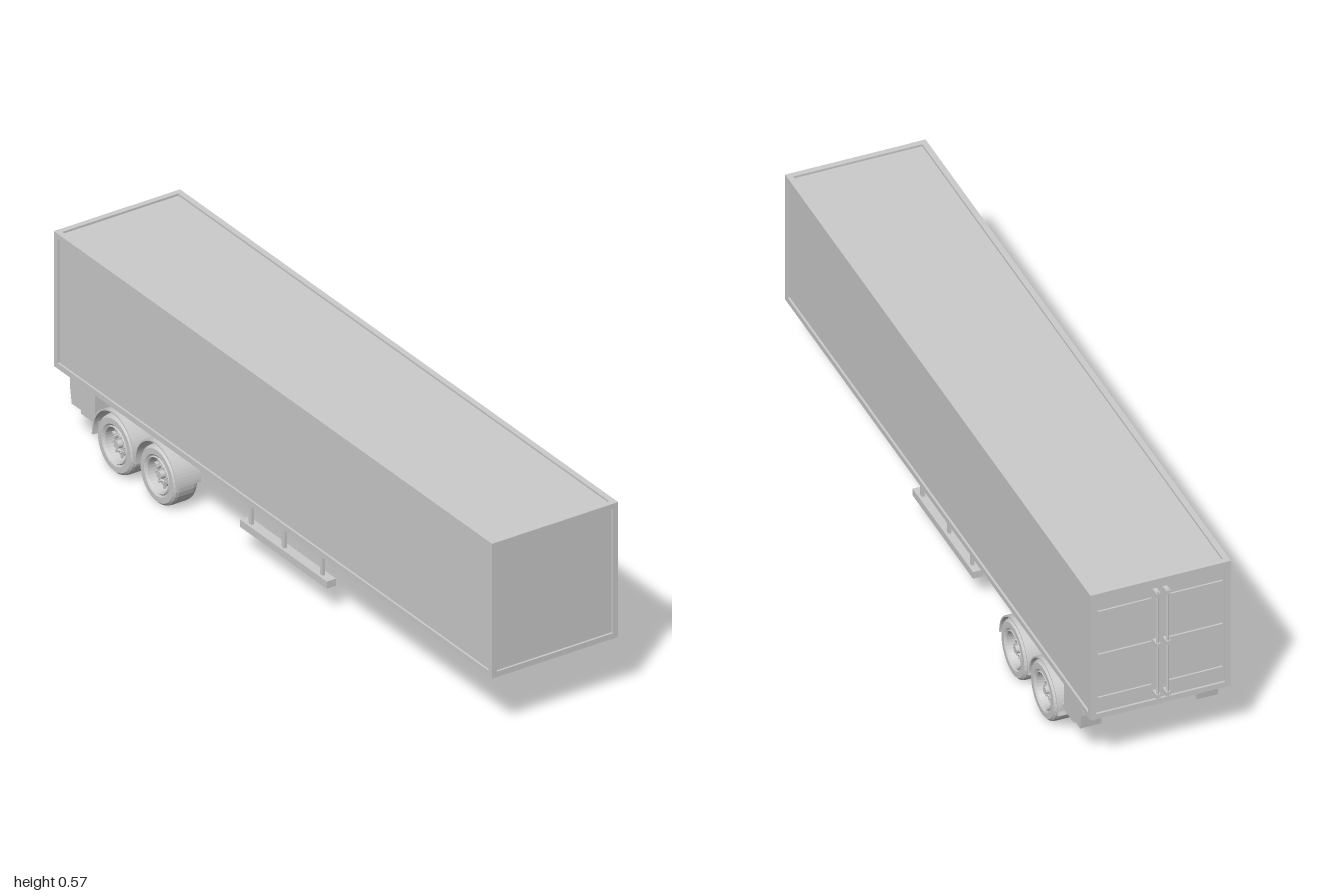
import * as THREE from 'three';

const grey = new THREE.MeshStandardMaterial({ color: 0xcccccc, flatShading: true });

function add(parent, name, geometry) {
  const mesh = new THREE.Mesh(geometry, grey);
  mesh.name = name;
  parent.add(mesh);
  return mesh;
}

// Box given by its low and high corner along each axis
function span(parent, name, x0, x1, y0, y1, z0, z1) {
  const mesh = add(parent, name, new THREE.BoxGeometry(x1 - x0, y1 - y0, z1 - z0));
  mesh.position.set((x0 + x1) / 2, (y0 + y1) / 2, (z0 + z1) / 2);
  return mesh;
}

// Side profile drawn in (z, y), extruded from x0 to x1
function profile(parent, name, shape, x0, x1) {
  const g = new THREE.ExtrudeGeometry(shape, { depth: x1 - x0, bevelEnabled: false, curveSegments: 16 });
  g.rotateY(-Math.PI / 2).translate(x1, 0, 0);
  return add(parent, name, g);
}

const polygon = (pts) => new THREE.Shape(pts.map(([z, y]) => new THREE.Vector2(z, y)));

// Cylinder lying along x
function rod(parent, name, r, x0, x1, y, z, sides = 16) {
  const g = new THREE.CylinderGeometry(r, r, x1 - x0, sides).rotateZ(-Math.PI / 2);
  add(parent, name, g).position.set((x0 + x1) / 2, y, z);
}

function cargoBody() {
  const body = new THREE.Group();
  body.name = 'cargoBody';
  const X = 0.194, Y0 = 0.178, Y1 = 0.57, Z0 = -0.98, Z1 = 0.998, t = 0.016, d = 0.006;
  span(body, 'recessedPanels', -X + d, X - d, Y0 + 0.001, Y1 - d, Z0 + d, Z1 - d);
  // Raised frame along all twelve edges
  for (const y of [Y0, Y1 - t]) {
    for (const x of [-X, X - t]) span(body, 'lengthRail', x, x + t, y, y + t, Z0, Z1);
    for (const z of [Z0, Z1 - t]) span(body, 'crossRail', -X + t, X - t, y, y + t, z, z + t);
  }
  for (const x of [-X, X - t])
    for (const z of [Z0, Z1 - t]) span(body, 'cornerPost', x, x + t, Y0 + t, Y1 - t, z, z + t);
  // Rear doors: ribs, locking rods and brackets
  const zd = Z0 + d;
  span(body, 'doorSeam', -0.002, 0.002, Y0 + t, Y1 - t, zd - 0.002, zd);
  for (const s of [-1, 1]) {
    for (const y of [0.24, 0.375, 0.51]) {
      const rib = span(body, 'doorRib', 0.024, 0.172, y - 0.003, y + 0.003, zd - 0.005, zd);
      rib.position.x *= s;
    }
    const bar = add(body, 'lockingRod', new THREE.CylinderGeometry(0.004, 0.004, 0.335, 10));
    bar.position.set(s * 0.014, 0.374, -0.992);
    for (const y of [0.215, 0.375, 0.533])
      span(body, 'rodBracket', s * 0.014 - 0.006, s * 0.014 + 0.006, y - 0.006, y + 0.006, -0.998, zd);
  }
  return body;
}

function chassis() {
  const g = new THREE.Group();
  g.name = 'chassis';
  const w = 0.128, hole = 0.036, y0 = 0.123, y1 = 0.178;
  profile(g, 'taperedNose', polygon([[0.48, y0], [0.52, y0], [0.57, y1 - 0.008], [0.57, y1], [0.48, y1]]), -w, w);
  for (const s of [-1, 1]) {
    const beam = span(g, 'mainBeam', hole, w, y0, y1, -0.80, 0.48);
    beam.position.x *= s;
  }
  span(g, 'crossMember', -hole, hole, y0, y1, -0.24, -0.17);
  span(g, 'crossMember', -hole, hole, y0, y1, -0.80, -0.74);
  return g;
}

// Side guard on the +x or -x side
function sideGuard(s) {
  const g = new THREE.Group();
  g.name = 'sideGuard';
  span(g, 'guardRail', s * 0.159 - 0.014, s * 0.159 + 0.014, 0.076, 0.097, -0.17, 0.222);
  for (const z of [0.185, 0.012, -0.137])
    span(g, 'guardPost', s * 0.161 - 0.004, s * 0.161 + 0.004, 0.09, 0.179, z - 0.006, z + 0.006);
  return g;
}

// Wheel lying on the x axis with its outer face towards +x, 0.074 wide
function wheel() {
  const g = new THREE.Group();
  g.name = 'wheel';
  const turned = (name, pts) => add(g, name, new THREE.LatheGeometry(
    pts.map(([r, x]) => new THREE.Vector2(r, x)), 32).rotateZ(-Math.PI / 2));
  turned('tyre', [[0, 0.003], [0.05, 0.003], [0.055, 0], [0.074, 0], [0.08, 0.006], [0.082, 0.014],
    [0.082, 0.06], [0.08, 0.068], [0.074, 0.074], [0.058, 0.074], [0.053, 0.07]]);
  turned('rim', [[0.053, 0.07], [0.05, 0.073], [0.047, 0.07], [0.043, 0.048], [0.036, 0.044],
    [0.03, 0.056], [0.02, 0.058], [0.018, 0.054], [0, 0.054]]);
  rod(g, 'hub', 0.011, 0.05, 0.068, 0, 0);
  for (let i = 0; i < 10; i++) {
    const a = (i / 10) * Math.PI * 2;
    rod(g, 'wheelNut', 0.0025, 0.055, 0.061, 0.024 * Math.sin(a), 0.024 * Math.cos(a), 6);
    const spoke = add(g, 'spoke', new THREE.BoxGeometry(0.012, 0.016, 0.006));
    spoke.position.set(0.047, 0.037 * Math.cos(a), 0.037 * Math.sin(a));
    spoke.rotation.x = a;
  }
  return g;
}

// Half-round mudguard with a small flared lip at the rear
function mudguard() {
  const R = 0.094, t = 0.004, s = new THREE.Shape();
  s.absarc(0, 0, R, 0, Math.PI, false);
  s.lineTo(-R - 0.003, -0.012);
  s.lineTo(-R + t, -0.012);
  s.lineTo(-R + t, 0);
  s.absarc(0, 0, R - t, Math.PI, 0, true);
  s.closePath();
  const g = new THREE.Group();
  g.name = 'mudguard';
  profile(g, 'mudguardShell', s, 0.128, 0.204);
  return g;
}

function axleSet(z) {
  const g = new THREE.Group();
  g.name = 'axleSet';
  const y = 0.082;
  rod(g, 'axle', 0.009, -0.135, 0.135, y, z);
  for (const s of [-1, 1]) {
    rod(g, 'axleCollar', 0.012, s * 0.095 - 0.02, s * 0.095 + 0.02, y, z);
    const w = wheel();
    w.position.set(s * 0.13, y, z);
    if (s < 0) w.rotation.y = Math.PI;
    g.add(w);
    const m = mudguard();
    m.position.set(s < 0 ? -0.332 : 0, y, z - 0.006);
    g.add(m);
  }
  return g;
}

function rearBumper() {
  const g = new THREE.Group();
  g.name = 'rearBumper';
  const end = polygon([[-0.80, 0.102], [-0.905, 0.102], [-0.912, 0.145], [-0.912, 0.179], [-0.80, 0.179]].reverse());
  profile(g, 'bumperEnd', end, 0.132, 0.19);
  profile(g, 'bumperEnd', end, -0.19, -0.132);
  span(g, 'bumperCentre', -0.132, 0.132, 0.125, 0.179, -0.908, -0.80);
  span(g, 'lightPanel', -0.165, 0.165, 0.135, 0.166, -0.918, -0.905);
  span(g, 'lowerBar', -0.19, 0.19, 0.092, 0.105, -0.862, -0.785);
  span(g, 'plateHolder', -0.05, 0.05, 0.14, 0.16, -0.921, -0.917);
  // Three round lamps at each end
  for (const s of [-1, 1])
    for (const x of [0.105, 0.126, 0.147]) {
      const lamp = add(g, 'rearLamp', new THREE.CylinderGeometry(0.008, 0.008, 0.012, 14).rotateX(Math.PI / 2));
      lamp.position.set(s * x, 0.15, -0.92);
    }
  return g;
}

export function createModel() {
  const model = new THREE.Group();
  model.name = 'boxTrailer';
  model.add(cargoBody(), chassis(), sideGuard(1), sideGuard(-1), axleSet(-0.5), axleSet(-0.692), rearBumper());
  return model;
}
